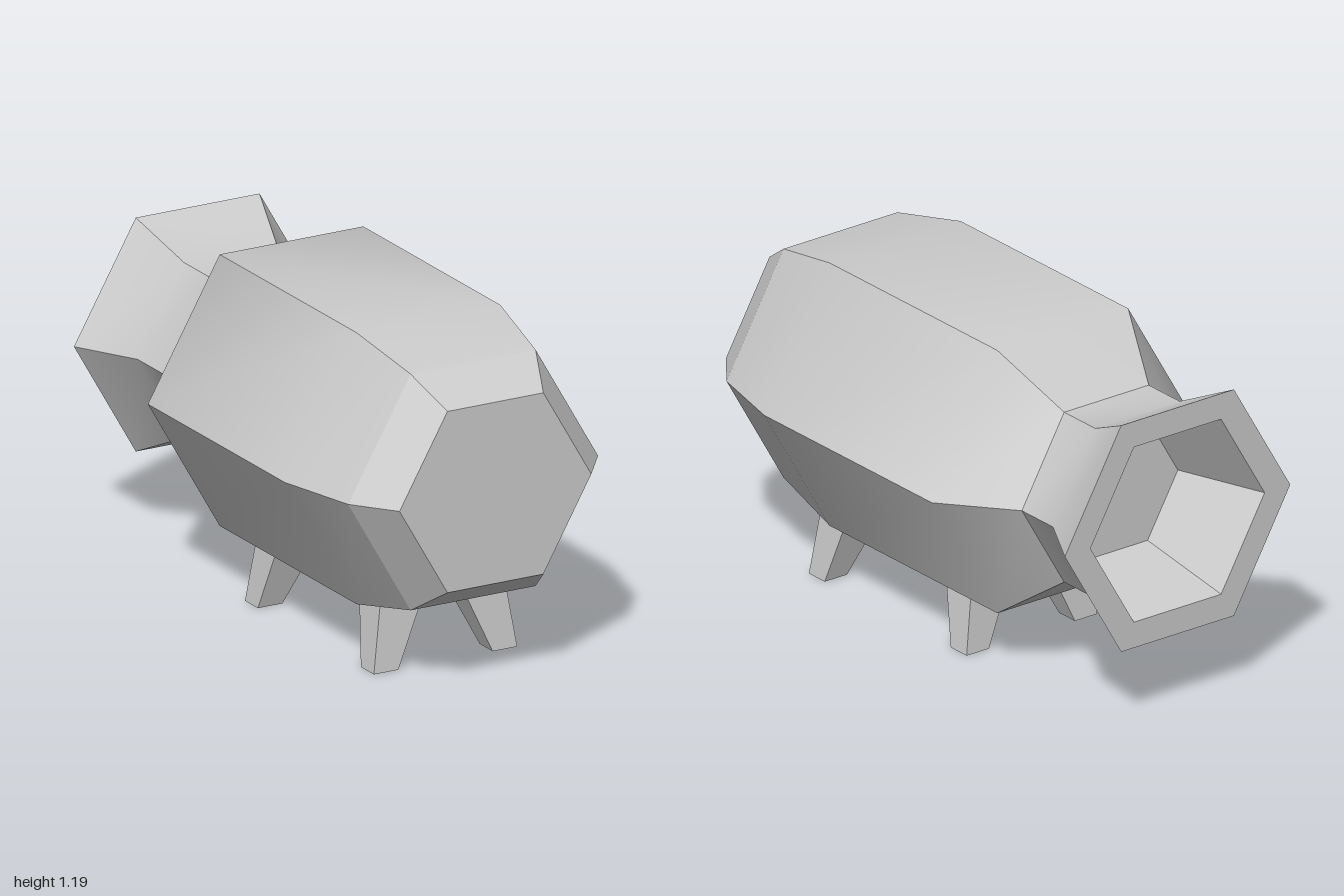
import * as THREE from 'three';
import { toCreasedNormals } from 'three/addons/utils/BufferGeometryUtils.js';

const AXIS_Y = 0.705;
const material = new THREE.MeshStandardMaterial({ color: 0xcccccc });

// Six-sided shell along z from [radius, z] pairs, ordered so faces point outward
function hexShell(name, profile) {
  const points = profile.map(([r, z]) => new THREE.Vector2(r, z));
  const geometry = new THREE.LatheGeometry(points, 6, Math.PI / 2);
  geometry.rotateX(Math.PI / 2);
  geometry.translate(0, AXIS_Y, 0);
  const mesh = new THREE.Mesh(toCreasedNormals(geometry, 0.7), material);
  mesh.name = name;
  return mesh;
}

// Tapered, splayed leg; sx and sz give the side it stands on
function leg(name, sx, sz) {
  const geometry = new THREE.BoxGeometry(1, 1, 1).toNonIndexed();
  const p = geometry.attributes.position;
  const midZ = 0.232;
  for (let i = 0; i < p.count; i++) {
    const top = p.getY(i) > 0;
    const outerX = p.getX(i) * sx > 0;
    const outerZ = p.getZ(i) * sz > 0;
    const x = outerX ? (top ? 0.243 : 0.281) : (top ? 0.073 : 0.185);
    const z = outerZ ? (top ? 0.412 : 0.433) : (top ? 0.269 : 0.346);
    p.setXYZ(i, sx * x, top ? 0.25 : 0, midZ + sz * z);
  }
  geometry.computeVertexNormals();
  const mesh = new THREE.Mesh(geometry, material);
  mesh.name = name;
  return mesh;
}

export function createModel() {
  const model = new THREE.Group();
  model.name = 'hexagonalBarrel';

  // Closed front end with its bevel
  model.add(hexShell('frontCap', [[0.49, 0.85], [0.376, 1], [0, 1]]));

  // Main body, smooth along its length
  model.add(hexShell('body', [[0.364, -0.61], [0.563, -0.37], [0.563, 0.55], [0.49, 0.85]]));

  // Hollow funnel, flat rim, flared mouth and neck
  model.add(hexShell('neckAndMouth', [
    [0, -0.67], [0.26, -0.67], [0.375, -1], [0.485, -1], [0.364, -0.78], [0.364, -0.61],
  ]));

  // Four legs
  for (const sx of [1, -1]) {
    for (const sz of [1, -1]) {
      model.add(leg((sz > 0 ? 'front' : 'back') + (sx > 0 ? 'Left' : 'Right') + 'Leg', sx, sz));
    }
  }
  return model;
}
